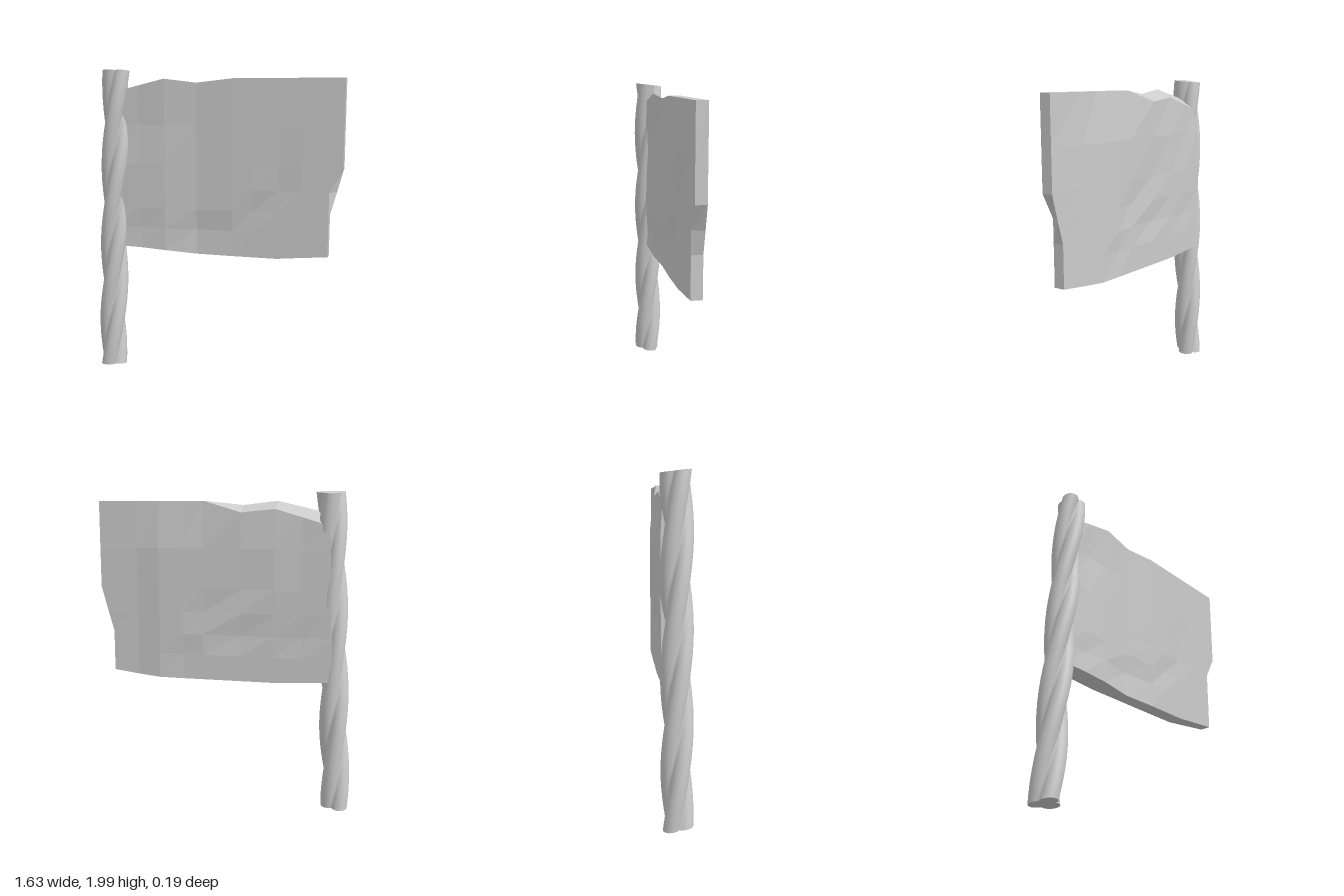
import * as THREE from 'three';

const material = new THREE.MeshStandardMaterial({ color: 0xcccccc });
const flat = new THREE.MeshStandardMaterial({ color: 0xcccccc, flatShading: true });

function geometryFrom(points, index) {
  const g = new THREE.BufferGeometry();
  g.setAttribute('position', new THREE.Float32BufferAttribute(points.flat(), 3));
  g.setIndex(index);
  g.computeVertexNormals();
  return g;
}

// Leaning pole axis
const axisX = (y) => -0.731 + 0.038 * y;

// A point of the pole's three-lobed section, turning with height
function polePoint(t, angle) {
  const third = (2 * Math.PI) / 3;
  const a = angle - third * Math.round(angle / third);
  const d = 0.043, R = 0.05;
  const r = d * Math.cos(a) + Math.sqrt(R * R - (d * Math.sin(a)) ** 2);
  const turn = THREE.MathUtils.degToRad(20 + 450 * (1 - t)) + angle;
  const x = r * Math.cos(turn), z = r * Math.sin(turn);
  const y = 0.014 + 1.976 * t + 0.11 * z;
  return [axisX(y) + x, y, z];
}

function createPole() {
  const pole = new THREE.Group();
  pole.name = 'twistedPole';
  const sides = 48, rows = 80, points = [], index = [];
  for (let i = 0; i <= rows; i++) {
    for (let j = 0; j < sides; j++) {
      points.push(polePoint(i / rows, (j / sides) * Math.PI * 2));
      if (i === rows) continue;
      const a = i * sides + j, b = i * sides + ((j + 1) % sides);
      index.push(a, a + sides, b, b, a + sides, b + sides);
    }
  }
  const strands = new THREE.Mesh(geometryFrom(points, index), material);
  strands.name = 'poleStrands';
  pole.add(strands);

  // End caps as fans
  for (const t of [0, 1]) {
    const y = 0.014 + 1.976 * t;
    const ring = [[axisX(y), y, 0]], fan = [];
    for (let j = 0; j < sides; j++) {
      ring.push(polePoint(t, (j / sides) * Math.PI * 2));
      const a = j + 1, b = ((j + 1) % sides) + 1;
      if (t) fan.push(0, b, a); else fan.push(0, a, b);
    }
    const cap = new THREE.Mesh(geometryFrom(ring, fan), material);
    cap.name = t ? 'poleTop' : 'poleBottom';
    pole.add(cap);
  }
  return pole;
}

// Flag columns: x, then top y, bottom y and depth of the front and back faces
const columns = [
  // x, topFront, topBack, bottomFront, bottomBack, zFront, zBack, zBackTop
  [-0.66, 1.86, 1.79, 0.85, 0.84, 0.022, -0.088, -0.08],
  [-0.50, 1.90, 1.84, 0.845, 0.83, 0.022, -0.09, -0.078],
  [-0.33, 1.94, 1.89, 0.835, 0.82, 0.022, -0.09, -0.077],
  [-0.12, 1.915, 1.87, 0.82, 0.82, 0.002, -0.09, -0.09],
  [0.12, 1.94, 1.94, 0.82, 0.82, 0.01, -0.09, -0.064],
  [0.25, 1.94, 1.94, 0.82, 0.82, 0.01, -0.09, -0.06],
  [0.41, 1.94, 1.94, 0.82, 0.82, 0.01, -0.088, -0.06],
  [0.56, 1.94, 1.94, 0.835, 0.83, 0.01, -0.067, -0.06],
  [0.81, 1.94, 1.94, 0.85, 0.85, 0.01, -0.06, -0.06],
];
const rowHeights = [0, 0.98, 1.11, 1.25, 1.4, 1.65, 0];

// Shallow dents as [column, row, depth]
const frontDents = [[3, 1, 0.012], [4, 1, 0.008], [5, 2, 0.01], [1, 1, 0.008],
  [1, 5, 0.012], [2, 5, 0.006], [6, 3, 0.006], [6, 4, 0.005]];
const backDents = [[3, 2, 0.012], [3, 4, 0.008], [4, 3, 0.01], [1, 2, 0.008],
  [1, 5, 0.01], [5, 1, 0.008]];

function flagPoint(c, r, front) {
  const [x0, topF, topB, botF, botB, zF, zB, zTop] = columns[c];
  const last = rowHeights.length - 1;
  let y = rowHeights[r];
  if (r === 0) y = front ? botF : botB;
  if (r === last) y = front ? topF : topB;
  let x = x0;
  if (c === 0) x = axisX(y);
  // Worn step in the free edge
  if (c === columns.length - 1 && r < 4) x = r === 3 && !front ? 0.77 : 0.73;
  const dents = front ? frontDents : backDents;
  const dent = dents.find((d) => d[0] === c && d[1] === r)?.[2] ?? 0;
  const z = front ? zF - dent : (r === last ? zTop : zB) + dent;
  return [x, y, z];
}

function createFlag() {
  const nc = columns.length, nr = rowHeights.length, points = [], index = [];
  const quad = (a, b, c, d) => index.push(a, b, c, a, c, d);
  for (const front of [true, false]) {
    for (let c = 0; c < nc; c++) {
      for (let r = 0; r < nr; r++) points.push(flagPoint(c, r, front));
    }
  }
  const F = (c, r) => c * nr + r, B = (c, r) => nc * nr + c * nr + r;
  // Front and back faces
  for (let c = 0; c < nc - 1; c++) {
    for (let r = 0; r < nr - 1; r++) {
      quad(F(c, r), F(c + 1, r), F(c + 1, r + 1), F(c, r + 1));
      quad(B(c + 1, r), B(c, r), B(c, r + 1), B(c + 1, r + 1));
    }
  }
  // Top and bottom rims
  for (let c = 0; c < nc - 1; c++) {
    quad(F(c, nr - 1), F(c + 1, nr - 1), B(c + 1, nr - 1), B(c, nr - 1));
    quad(B(c, 0), B(c + 1, 0), F(c + 1, 0), F(c, 0));
  }
  // Free edge and pole edge
  for (let r = 0; r < nr - 1; r++) {
    quad(F(nc - 1, r), B(nc - 1, r), B(nc - 1, r + 1), F(nc - 1, r + 1));
    quad(B(0, r), F(0, r), F(0, r + 1), B(0, r + 1));
  }
  const flag = new THREE.Mesh(geometryFrom(points, index), flat);
  flag.name = 'flagPanel';
  return flag;
}

export function createModel() {
  const model = new THREE.Group();
  model.name = 'flagOnPole';
  model.add(createPole(), createFlag());
  return model;
}
